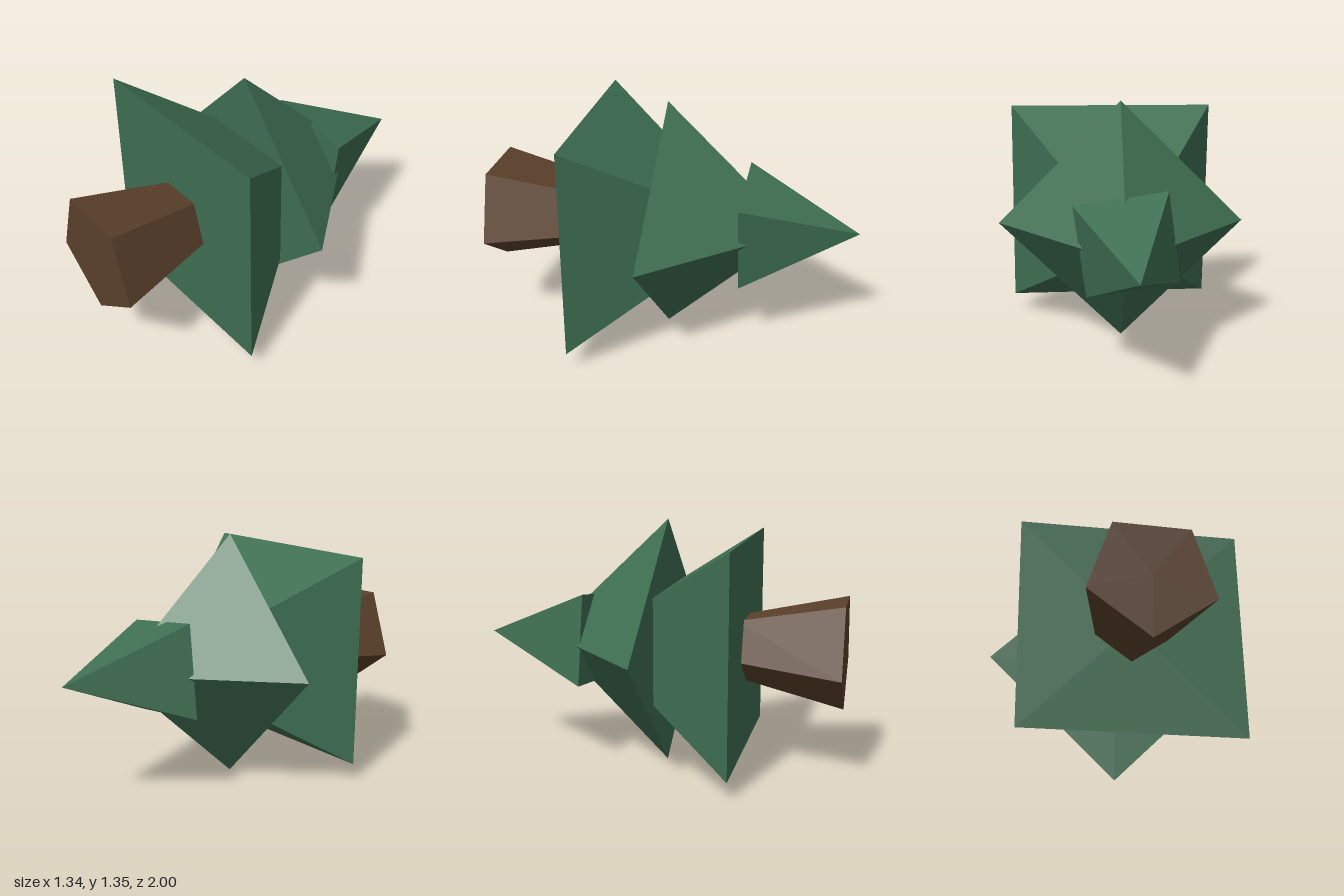
import * as THREE from 'three';

const bark = new THREE.MeshStandardMaterial({ color: 0x5a402b, flatShading: true });
const needles = new THREE.MeshStandardMaterial({ color: 0x3f6f52, flatShading: true });

// A faceted cone lying along -z; the centre of its base is the local origin.
// Turn is the angle of one base corner, clockwise from the top as seen from the front.
function facetedCone(name, material, { tip = 0, radius, length, sides, turn, at, tilt = [0, 0] }) {
  const geometry = new THREE.CylinderGeometry(tip, radius, length, sides)
    .rotateY(THREE.MathUtils.degToRad(turn))
    .rotateX(-Math.PI / 2)
    .translate(0, 0, -length / 2);
  const mesh = new THREE.Mesh(geometry, material);
  mesh.name = name;
  mesh.position.set(...at);
  mesh.rotation.set(tilt[0], tilt[1], 0);
  return mesh;
}

export function createModel() {
  const tree = new THREE.Group();
  tree.name = 'fallenTree';

  // Five-sided trunk, tapering into the foliage
  tree.add(facetedCone('trunk', bark, {
    tip: 0.185, radius: 0.323, length: 0.57, sides: 5, turn: 180.5, at: [0.016, 0.678, 1],
  }));

  // Three four-sided foliage tiers, each turned differently
  tree.add(facetedCone('lowerFoliage', needles, {
    radius: 0.8125, length: 0.9, sides: 4, turn: 44.3, at: [0.018, 0.679, 0.473],
  }));
  tree.add(facetedCone('middleFoliage', needles, {
    radius: 0.673, length: 0.71, sides: 4, turn: 0, at: [0, 0.677, 0.04], tilt: [0, -0.058],
  }));
  tree.add(facetedCone('topFoliage', needles, {
    radius: 0.35, length: 0.615, sides: 4, turn: 52.5, at: [0.01, 0.676, -0.385], tilt: [0.015, -0.012],
  }));

  return tree;
}
